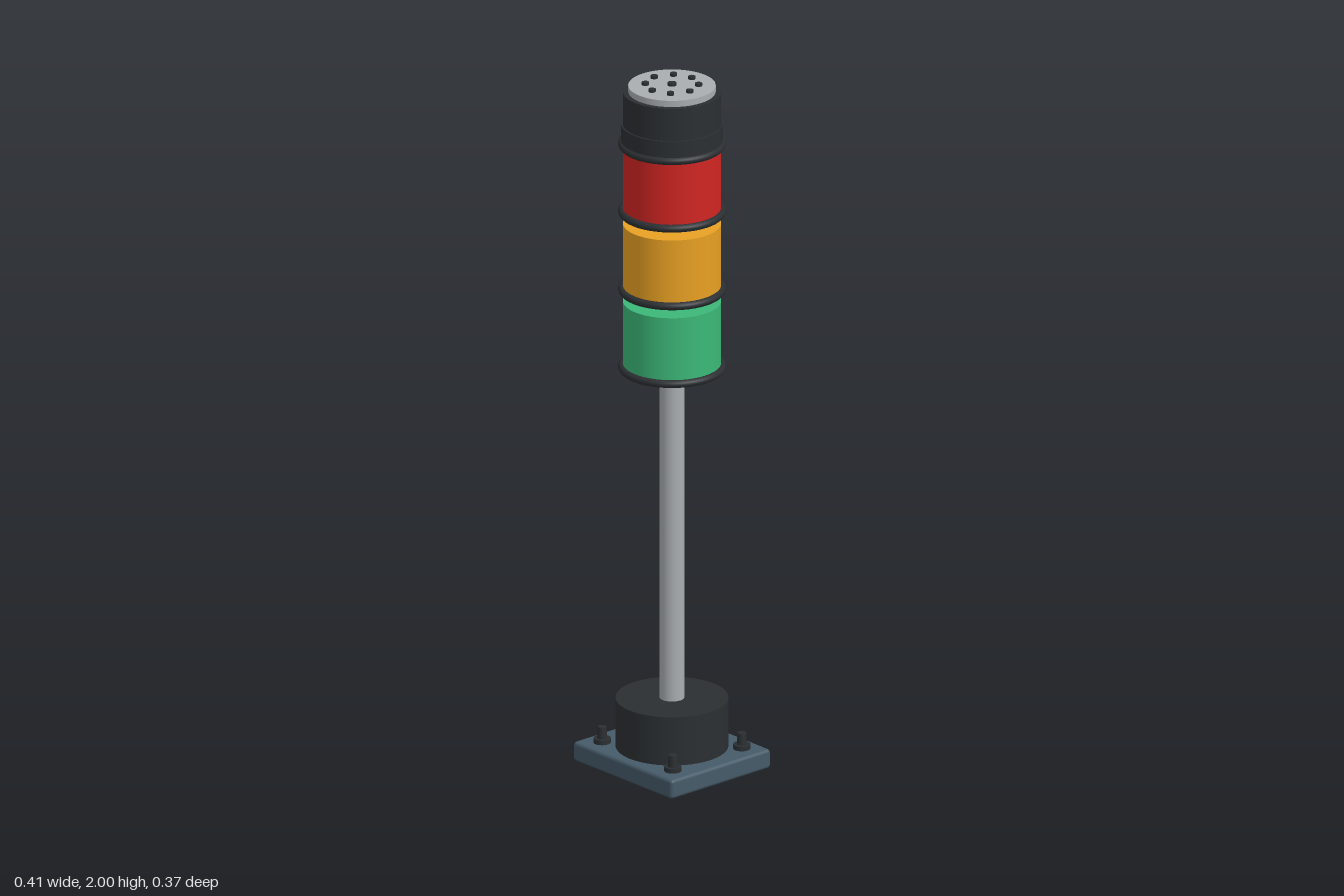
import * as THREE from 'three';
import { RoundedBoxGeometry } from 'three/addons/geometries/RoundedBoxGeometry.js';

const mat = (color) => new THREE.MeshStandardMaterial({ color });

export function createModel() {
  const model = new THREE.Group();
  const black = mat(0x2b2f32), slate = mat(0x455a68), steel = mat(0xa9adb0);

  const add = (name, geometry, material, x, y, z) => {
    const mesh = new THREE.Mesh(geometry, material);
    mesh.name = name;
    mesh.position.set(x, y, z);
    model.add(mesh);
    return mesh;
  };
  // Upright cylinder from height y0 to y1
  const post = (name, material, rBottom, rTop, y0, y1, x = 0, z = 0, sides = 48) =>
    add(name, new THREE.CylinderGeometry(rTop, rBottom, y1 - y0, sides), material, x, (y0 + y1) / 2, z);
  // Horizontal sealing ring
  const ring = (name, y) =>
    add(name, new THREE.TorusGeometry(0.137, 0.011, 12, 48), black, 0, y, 0).rotateX(Math.PI / 2);

  // Mounting plate, socket and pole
  add('basePlate', new RoundedBoxGeometry(0.406, 0.056, 0.366, 3, 0.01), slate, 0, 0.028, 0);
  post('poleSocket', black, 0.155, 0.155, 0.05, 0.197);
  post('pole', steel, 0.034, 0.034, 0.19, 1.17, 0, 0, 32);

  // Corner bolts with washers
  for (const x of [-0.145, 0.145]) {
    for (const z of [-0.127, 0.127]) {
      post('boltWasher', black, 0.024, 0.024, 0.054, 0.069, x, z, 24);
      post('bolt', black, 0.014, 0.012, 0.069, 0.102, x, z, 20);
    }
  }

  // Signal lamps, each seated on a ring
  const lamps = [['greenLamp', 0x3cb878, 1.168], ['amberLamp', 0xe8a023, 1.396], ['redLamp', 0xd02522, 1.624]];
  for (const [name, color, y] of lamps) {
    post(name, mat(color), 0.135, 0.135, y, y + 0.192);
    ring(name + 'Ring', y);
  }

  // Sounder housing with a stepped skirt
  ring('housingRing', 1.822);
  post('housingSkirt', black, 0.14, 0.14, 1.812, 1.88);
  post('housing', black, 0.135, 0.135, 1.88, 1.974);
  post('sounderDisc', steel, 0.12, 0.12, 1.97, 1.992);

  // Sounder ports: one in the middle, eight around it
  post('centrePort', black, 0.012, 0.012, 1.985, 2, 0, 0, 20);
  for (let i = 0; i < 8; i++) {
    const a = (i * Math.PI) / 4;
    post('port', black, 0.01, 0.01, 1.985, 2, 0.073 * Math.cos(a), 0.073 * Math.sin(a), 20);
  }
  return model;
}
